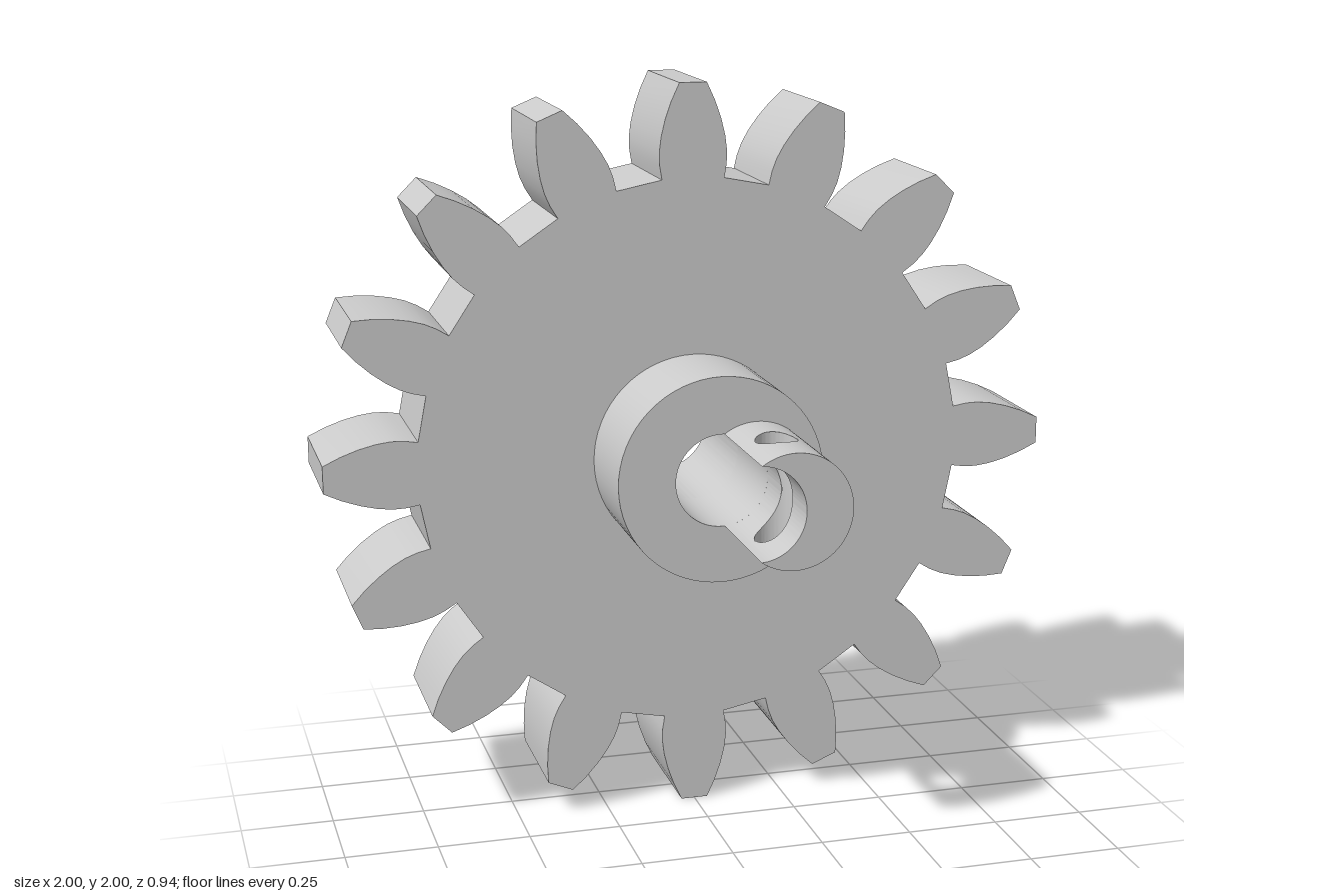
import * as THREE from 'three';
import { toCreasedNormals } from 'three/addons/utils/BufferGeometryUtils.js';
import { ParametricGeometry } from 'three/addons/geometries/ParametricGeometry.js';

const TEETH = 16, BORE = 0.124;
const Z_BACK = -0.472, Z_FACE = -0.14, Z_HUB = 0.137, Z_TIP = 0.472;
const PIN = { x: 0.095, r: 0.152 };            // off-centre crank pin
const HOLE = { x: 0.095, z: 0.305, r: 0.055 }; // vertical cross hole in the pin

export function createModel() {
  const model = new THREE.Group();
  const material = new THREE.MeshStandardMaterial({ color: 0xcccccc });
  const add = (name, geometry, parent = model) => {
    const mesh = new THREE.Mesh(toCreasedNormals(geometry, 0.5), material);
    mesh.name = name;
    parent.add(mesh);
  };

  // Gear wheel: one tooth flank (half width, radius), mirrored and repeated
  const flank = [[0.085, 0.748], [0.091, 0.785], [0.092, 0.82], [0.087, 0.86],
    [0.076, 0.905], [0.059, 0.953], [0.037, 1]];
  const tooth = [...flank.map(([w, r]) => [-w, r]), ...flank.slice().reverse()];
  const outline = [];
  for (let i = 0; i < TEETH; i++) {
    const turn = -i * 2 * Math.PI / TEETH;
    for (const [x, y] of tooth)
      outline.push(new THREE.Vector2(x, y).rotateAround(new THREE.Vector2(), turn));
  }
  const wheel = new THREE.Shape(outline);
  wheel.holes.push(new THREE.Path().absarc(0, 0, BORE, 0, 2 * Math.PI));
  const wheelGeometry = new THREE.ExtrudeGeometry(wheel,
    { depth: Z_FACE - Z_BACK, bevelEnabled: false, curveSegments: 64 });
  add('gearWheel', wheelGeometry.translate(0, 0, Z_BACK));

  // Hub: a turned collar around the bore
  const profile = [[0.277, Z_FACE], [0.277, Z_HUB], [BORE, Z_HUB], [BORE, Z_FACE]];
  const hub = new THREE.LatheGeometry(profile.map(([r, z]) => new THREE.Vector2(r, z)), 64);
  add('hub', hub.rotateX(Math.PI / 2));

  // Crank pin: a cylinder cut by the bore into a crescent
  const pin = new THREE.Group();
  pin.name = 'crankPin';
  model.add(pin);
  const cuspX = (BORE ** 2 - PIN.r ** 2 + PIN.x ** 2) / (2 * PIN.x);
  const outerEnd = Math.acos((cuspX - PIN.x) / PIN.r);
  const innerEnd = Math.acos(cuspX / BORE);
  const halfChord = (r, dx) => Math.sqrt(Math.max(0, r * r - dx * dx));

  // Walls run along z on either side of the cross hole
  const wall = (name, cx, r, from, to) => {
    for (const side of [-1, 1]) {
      add(name, new ParametricGeometry((u, v, p) => {
        const a = from + (to - from) * u;
        const x = cx + r * Math.cos(a);
        const edge = HOLE.z + side * halfChord(HOLE.r, x - HOLE.x);
        const [z0, z1] = side < 0 ? [Z_HUB, edge] : [edge, Z_TIP];
        p.set(x, r * Math.sin(a), z0 + (z1 - z0) * v);
      }, 144, 1), pin);
    }
  };
  wall('pinOuterWall', PIN.x, PIN.r, -outerEnd, outerEnd);
  wall('pinInnerWall', 0, BORE, innerEnd, -innerEnd);

  // Cross hole lining, above and below the bore
  for (const side of [-1, 1]) {
    add('crossHole', new ParametricGeometry((u, v, p) => {
      const a = u * 2 * Math.PI;
      const x = HOLE.x + HOLE.r * Math.cos(a);
      const inner = halfChord(BORE, x), outer = halfChord(PIN.r, x - PIN.x);
      const t = side > 0 ? v : 1 - v;
      p.set(x, side * (inner + (outer - inner) * t), HOLE.z + HOLE.r * Math.sin(a));
    }, 64, 1), pin);
  }

  // Crescent end face
  const crescent = new THREE.Shape();
  crescent.absarc(PIN.x, 0, PIN.r, -outerEnd, outerEnd, false);
  crescent.absarc(0, 0, BORE, innerEnd, -innerEnd, true);
  add('pinEnd', new THREE.ShapeGeometry(crescent, 64).translate(0, 0, Z_TIP), pin);

  model.position.y = 1; // stand on the ground
  return model;
}
